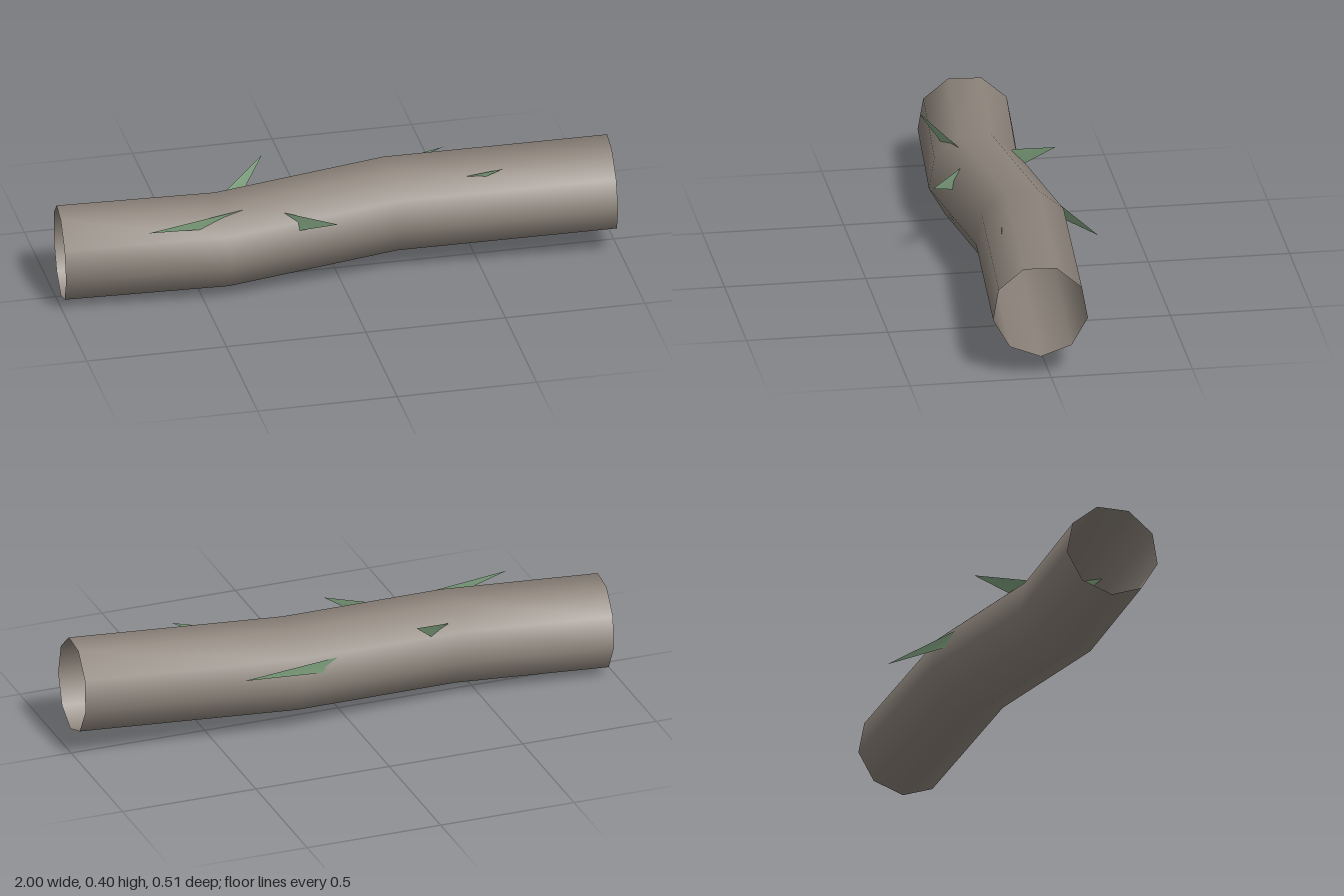
import * as THREE from 'three';

const bark = new THREE.MeshStandardMaterial({ color: 0x8d847b, side: THREE.DoubleSide });
bark.name = 'bark';
const leafGreen = new THREE.MeshStandardMaterial({ color: 0x7d9f7d, side: THREE.DoubleSide });
leafGreen.name = 'leafGreen';

function makeGeometry(points, index) {
  const g = new THREE.BufferGeometry();
  g.setAttribute('position', new THREE.Float32BufferAttribute(points.flat(), 3));
  g.setIndex(index);
  g.computeVertexNormals();
  return g;
}

// Hollow nine-sided trunk: rings along a bent centre line, open at both ends
function trunkGeometry() {
  const sides = 9, radius = 0.168;
  const centres = [
    [-0.984, 0.17, -0.005],
    [-0.42, 0.184, 0.046],
    [0.2, 0.219, -0.024],
    [0.983, 0.247, 0.035],
  ];
  const points = [], index = [];
  centres.forEach(([x, y, z], i) => {
    // Lean each ring square to the centre line
    const p = centres[Math.max(i - 1, 0)], n = centres[Math.min(i + 1, 3)];
    const slopeY = (n[1] - p[1]) / (n[0] - p[0]);
    const slopeZ = (n[2] - p[2]) / (n[0] - p[0]);
    for (let j = 0; j < sides; j++) {
      const t = -Math.PI / 2 + (j / sides) * Math.PI * 2;
      const dy = radius * Math.sin(t), dz = radius * Math.cos(t);
      points.push([x - dy * slopeY - dz * slopeZ, y + dy, z + dz]);
      if (i < 3) {
        const a = i * sides + j, c = i * sides + ((j + 1) % sides);
        index.push(a, a + sides, c, c, a + sides, c + sides);
      }
    }
  });
  return makeGeometry(points, index);
}

// Kite-shaped leaves: root inside the trunk, upper corner, tip, lower corner
const leaves = {
  frontLeafRight: [[0.13, 0.245, 0], [-0.33, 0.33, 0.11], [-0.71, 0.32, 0.2], [-0.36, 0.265, 0.118]],
  frontLeafMiddle: [[-0.38, 0.25, 0], [-0.21, 0.31, 0.133], [-0.045, 0.307, 0.255], [-0.2, 0.235, 0.14]],
  frontLeafLeft: [[0.03, 0.195, 0], [0.25, 0.315, 0.055], [0.58, 0.383, 0.112], [0.35, 0.27, 0.067]],
  backLeafRight: [[-0.454, 0.228, 0], [-0.38, 0.3, -0.08], [-0.215, 0.367, -0.205], [-0.357, 0.225, -0.06]],
  backLeafLeft: [[-0.55, 0.175, 0], [-0.08, 0.275, -0.122], [0.45, 0.3, -0.253], [-0.02, 0.212, -0.137]],
};

export function createModel() {
  const model = new THREE.Group();
  model.name = 'hollowLog';

  const trunk = new THREE.Mesh(trunkGeometry(), bark);
  trunk.name = 'trunk';
  model.add(trunk);

  for (const [name, corners] of Object.entries(leaves)) {
    // Wind each leaf so its front faces away from the trunk
    const index = name.startsWith('front') === corners[2][0] > corners[0][0]
      ? [0, 2, 1, 0, 3, 2] : [0, 1, 2, 0, 2, 3];
    const leaf = new THREE.Mesh(makeGeometry(corners, index), leafGreen);
    leaf.name = name;
    model.add(leaf);
  }
  return model;
}
